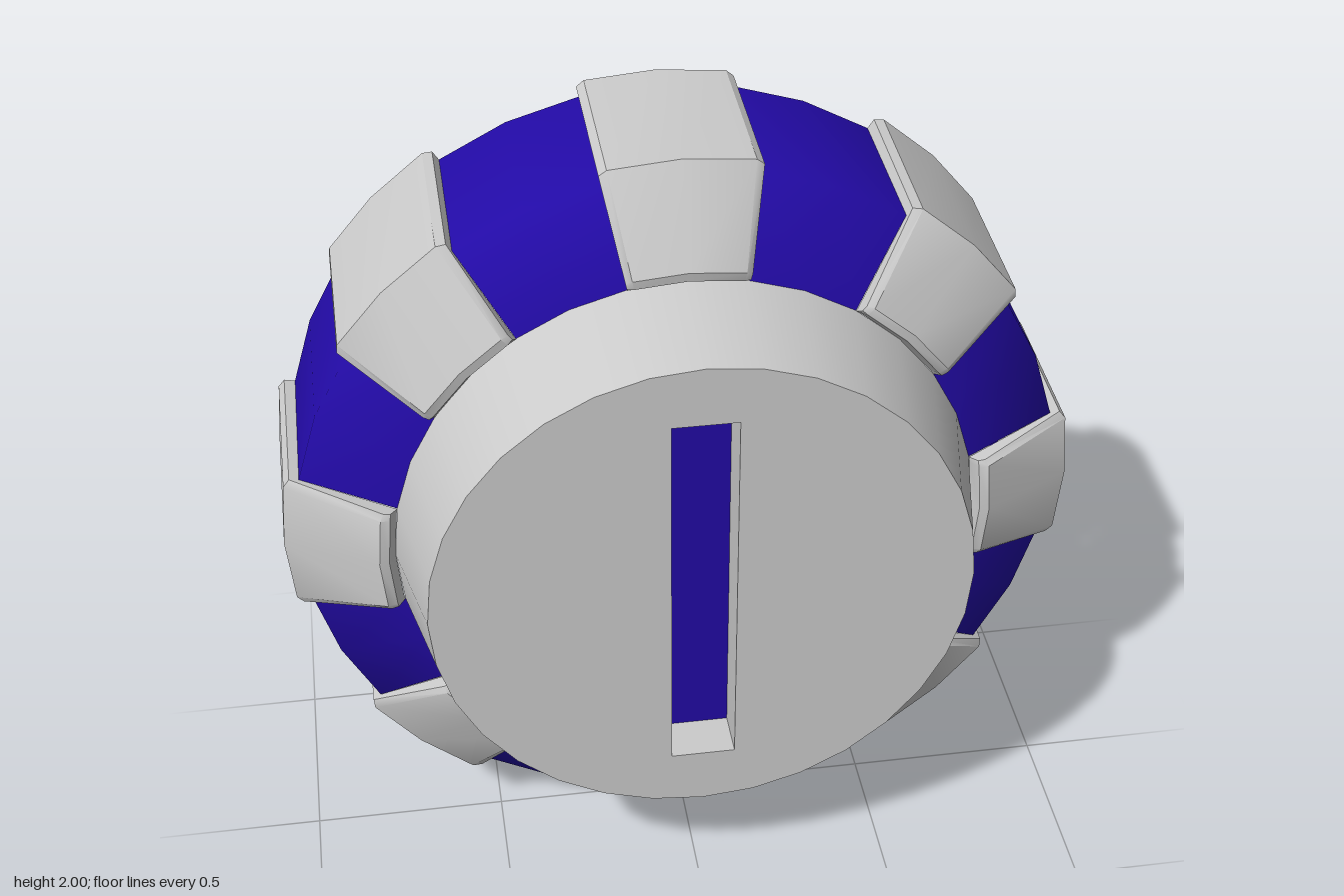
import * as THREE from 'three';
import { toCreasedNormals } from 'three/addons/utils/BufferGeometryUtils.js';

const STEP = Math.PI / 16; // one side of the 32-sided body
const V = (x, y) => new THREE.Vector2(x, y);

// Lathe about the z axis from [radius, z] pairs
function latheZ(profile, segments, start, length) {
  const g = new THREE.LatheGeometry(profile.map(p => V(...p)), segments, start, length);
  return g.rotateX(Math.PI / 2);
}

// Hollow raised grip: columns run across the width, rows from back to front
function gripGeometry() {
  const base = [[0.96, -0.4], [0.96, 0.03], [0.742, 0.116], [0.733, 0.12], [0.725, 0.12]];
  const lip = [[0.988, -0.4], [0.984, 0.033], [0.76, 0.148], [0.743, 0.146], [0.725, 0.122]];
  const top = [[1.0, -0.4], [0.996, 0.037], [0.766, 0.157], [0.742, 0.153], [0.725, 0.122]];
  const inner = STEP * 0.89;
  const columns = [[-STEP, base], [-STEP, lip], [-inner, top], [0, top], [inner, top], [STEP, lip], [STEP, base]];
  const rows = base.length;
  const positions = [];
  const index = [];
  columns.forEach(([angle, profile], c) => {
    profile.forEach(([r, z], k) => {
      positions.push(r * Math.sin(angle), r * Math.cos(angle), z);
      if (c < columns.length - 1 && k < rows - 1) {
        const a = c * rows + k, b = a + rows;
        index.push(a, a + 1, b, b, a + 1, b + 1);
      }
    });
  });
  const g = new THREE.BufferGeometry();
  g.setAttribute('position', new THREE.Float32BufferAttribute(positions, 3));
  g.setIndex(index);
  return toCreasedNormals(g, 0.6);
}

export function createModel() {
  const model = new THREE.Group();
  model.name = 'knob';
  const grey = new THREE.MeshStandardMaterial({ color: 0xcccccc, side: THREE.DoubleSide });
  const blue = new THREE.MeshStandardMaterial({ color: 0x220aa5, side: THREE.DoubleSide });
  const add = (name, geometry, material, parent = model) => {
    const mesh = new THREE.Mesh(geometry, material);
    mesh.name = name;
    parent.add(mesh);
    return mesh;
  };

  // Alternating grips and blue rim panels
  const grip = gripGeometry();
  const panel = latheZ([[0.96, -0.4], [0.96, 0.03], [0.725, 0.12]], 2, STEP, 2 * STEP);
  for (let i = 0; i < 8; i++) {
    add('grip', grip, grey).rotation.z = i * Math.PI / 4;
    add('rimPanel', panel, blue).rotation.z = i * Math.PI / 4;
  }

  // Tapered collar
  add('collar', latheZ([[0.725, 0.12], [0.665, 0.4]], 32), grey);

  // Front face with the slot cut through it
  const w = 0.08, h = 0.51, depth = 0.12;
  const disc = new THREE.Shape(Array.from({ length: 32 }, (_, i) =>
    V(0.665 * Math.cos(i * STEP), 0.665 * Math.sin(i * STEP))));
  disc.holes.push(new THREE.Path([V(-w, -h), V(-w, h), V(w, h), V(w, -h)]));
  add('frontFace', new THREE.ShapeGeometry(disc).translate(0, 0, 0.4), grey);

  // Slot walls and coloured floor
  const slot = new THREE.Group();
  slot.name = 'slot';
  slot.position.z = 0.4 - depth;
  model.add(slot);
  for (const s of [-1, 1]) {
    add('slotSide', new THREE.PlaneGeometry(depth, 2 * h).rotateY(-s * Math.PI / 2)
      .translate(s * w, 0, depth / 2), grey, slot);
    add('slotEnd', new THREE.PlaneGeometry(2 * w, depth).rotateX(s * Math.PI / 2)
      .translate(0, s * h, depth / 2), grey, slot);
  }
  add('slotFloor', new THREE.PlaneGeometry(2 * w, 2 * h), blue, slot);

  model.position.y = 1;
  const root = new THREE.Group();
  root.name = 'dial';
  root.add(model);
  return root;
}
